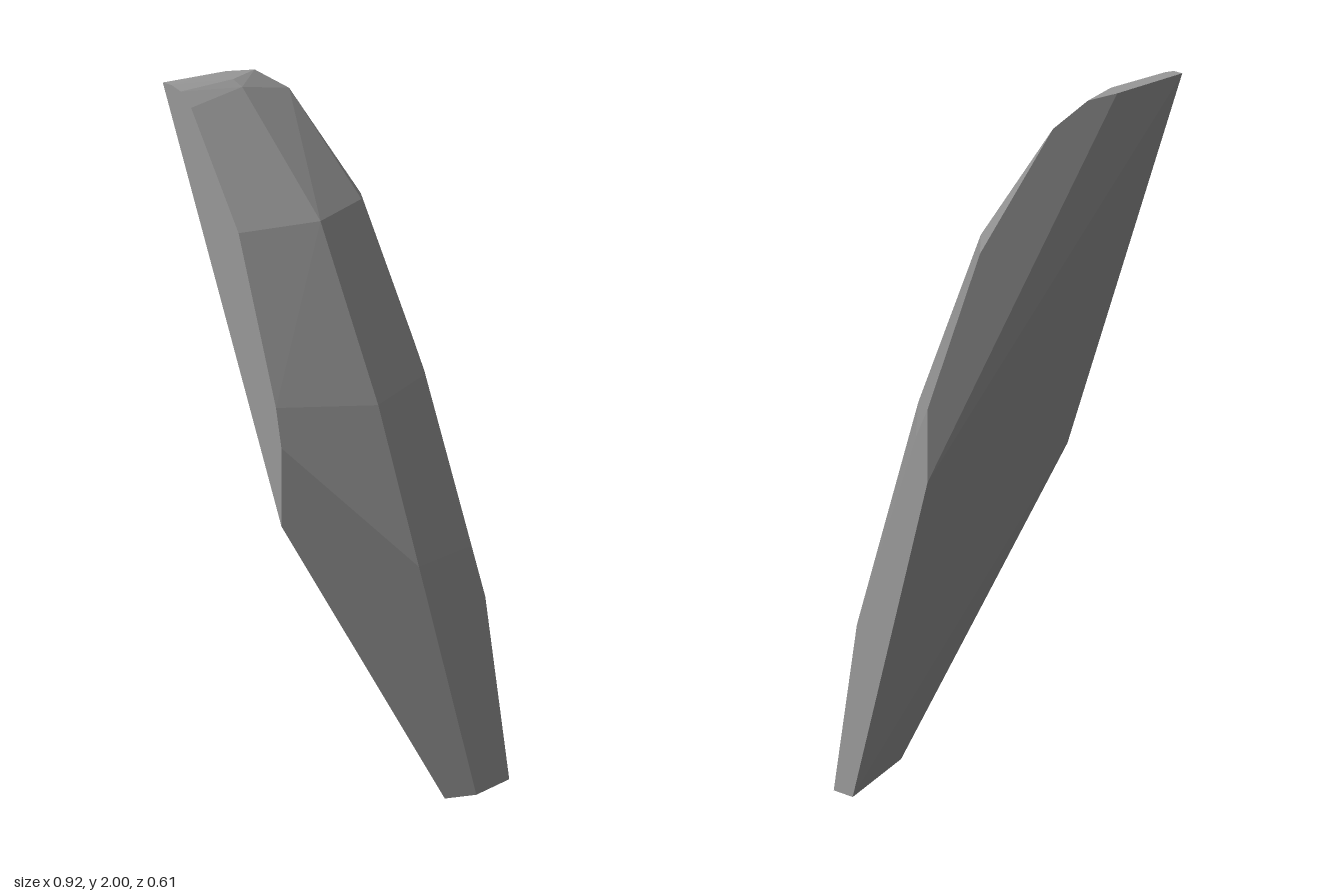
import * as THREE from 'three';
import { ConvexGeometry } from 'three/addons/geometries/ConvexGeometry.js';

export function createModel() {
  const model = new THREE.Group();
  model.name = 'rockShard';
  const stone = new THREE.MeshStandardMaterial({ color: 0x999999 });
  stone.name = 'grey stone';

  // Corners of the faceted shard, one ridge per row, from the top down
  const ridges = [
    // left rim, on the flat x = -0.46 side
    [[-0.46, 2, -0.24], [-0.46, 1.998, -0.2], [-0.46, 1.985, -0.157], [-0.46, 1.945, -0.11],
      [-0.46, 1.62, 0.108], [-0.46, 1.15, 0.28], [-0.46, 1.04, 0.305], [-0.46, 0.82, 0.305]],
    // front left ridge
    [[-0.23, 1.99, -0.22], [-0.217, 1.97, -0.195], [-0.13, 1.615, 0.05], [-0.05, 1.11, 0.21],
      [0.02, 0.66, 0.305], [0.22, 0, 0.305]],
    // front right ridge
    [[0.03, 1.93, -0.305], [0.18, 1.62, -0.17], [0.3, 1.13, -0.04], [0.39, 0.65, 0.05], [0.46, 0, 0.14]],
    // right rim, on the flat x = 0.46 side
    [[0.46, 1.19, -0.305], [0.46, 1.1, -0.25], [0.46, 0.5, 0.03]],
    // back rim, on the flat z = -0.305 side
    [[-0.19, 1.998, -0.305], [-0.09, 1.993, -0.305], [0.28, 1.61, -0.305], [0.46, 0.98, -0.305]],
    // back corners of the foot
    [[0.11, 0, 0.305], [0.46, 0, 0.05]],
  ];
  const corners = ridges.flat().map((p) => new THREE.Vector3(...p));

  const shard = new THREE.Mesh(new ConvexGeometry(corners), stone);
  shard.name = 'shard';
  model.add(shard);
  return model;
}
